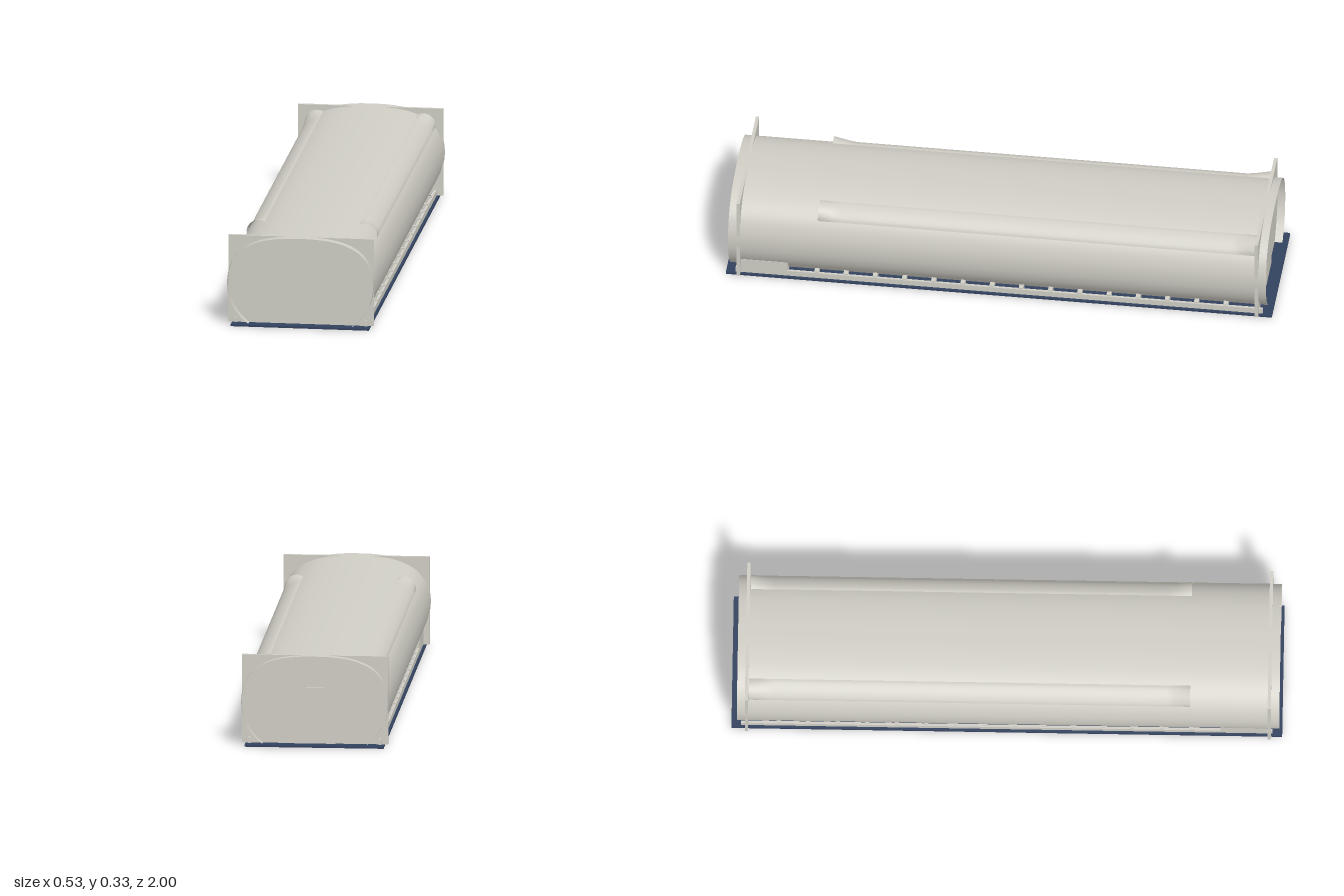
import * as THREE from 'three';

const HULL = new THREE.MeshStandardMaterial({ color: 0xcfcdc4, side: THREE.DoubleSide });
HULL.name = 'warm grey';
const NAVY = new THREE.MeshStandardMaterial({ color: 0x33425e });
NAVY.name = 'navy';

// Right half of the hull section, from the crown down to the floor
const HALF = [
  [0, 0.333], [0.06, 0.3315], [0.13, 0.322], [0.178, 0.306], [0.215, 0.284], [0.245, 0.25],
  [0.262, 0.205], [0.267, 0.165], [0.263, 0.12], [0.251, 0.083], [0.235, 0.055], [0.21, 0.025], [0.19, 0.008],
];

// Smooth surface through rows of points, each row being a cross-section
function loft(rows) {
  const n = rows[0].length;
  const index = [];
  for (let i = 0; i < rows.length - 1; i++) {
    for (let j = 0; j < n - 1; j++) {
      const a = i * n + j, b = a + n;
      index.push(a, b, a + 1, b, b + 1, a + 1);
    }
  }
  const g = new THREE.BufferGeometry();
  g.setAttribute('position', new THREE.Float32BufferAttribute(rows.flat(2), 3));
  g.setIndex(index);
  g.computeVertexNormals();
  return g;
}

function createModel() {
  const model = new THREE.Group();
  model.name = 'longHall';

  function add(name, geometry, material = HULL) {
    const mesh = new THREE.Mesh(geometry, material);
    mesh.name = name;
    model.add(mesh);
    return mesh;
  }
  function box(name, x0, x1, y0, y1, z0, z1, material) {
    const mesh = add(name, new THREE.BoxGeometry(x1 - x0, y1 - y0, z1 - z0), material);
    mesh.position.set((x0 + x1) / 2, (y0 + y1) / 2, (z0 + z1) / 2);
    return mesh;
  }

  // Base plate
  box('basePlate', -0.253, 0.253, 0, 0.007, -1, 1, NAVY);

  // Hull shell, open at both ends
  const outline = [...HALF.slice(1).reverse().map(([x, y]) => [-x, y]), ...HALF];
  const curve = new THREE.CatmullRomCurve3(outline.map(([x, y]) => new THREE.Vector3(x, y, 0)), false, 'centripetal');
  const section = curve.getPoints(72);
  add('hullShell', loft([-0.98, 0.99].map((z) => section.map((p) => [p.x, p.y, z]))));

  // End bulkheads, standing square around the hull
  box('frontBulkhead', -0.266, 0.266, 0.007, 0.3322, 0.947, 0.959);
  box('backBulkhead', -0.266, 0.266, 0.007, 0.3322, -0.951, -0.939);

  // Back door
  box('backDoor', -0.074, 0.074, 0.007, 0.213, -0.956, -0.95);

  // Shoulder fairings: low along the middle, flared at both ends
  const stations = [0.665, 0.64, 0.61, 0.58, -0.85, -0.88, -0.91, -0.937];
  const rise = [0.02, 0.015, 0.009, 0.005, 0.005, 0.009, 0.015, 0.02];
  for (const side of [-1, 1]) {
    const rows = stations.map((z, i) => {
      const row = [];
      for (let j = 0; j <= 12; j++) {
        const t = j / 12;
        const bulge = Math.pow(Math.sin(Math.PI * t), 0.6);
        const lift = bulge * (0.006 + rise[i]);
        row.push([side * (0.172 + 0.066 * t + lift * 0.58), 0.308 - 0.046 * t + lift * 0.8, z]);
      }
      return row;
    });
    if (side > 0) rows.reverse();
    add(side > 0 ? 'leftFairing' : 'rightFairing', loft(rows));

    // Foot rail, front side box and the struts tying the rail to the hull
    const span = (a, b) => (side > 0 ? [a, b] : [-b, -a]);
    box('footRail', ...span(0.233, 0.243), 0.007, 0.028, -0.965, 0.965);
    box('sideBox', ...span(0.18, 0.243), 0.007, 0.065, 0.775, 0.945);
    for (let k = 0; k < 15; k++) {
      const z = 0.67 - k * 0.107;
      box('strut', ...span(0.2, 0.24), 0.007, 0.033, z - 0.008, z + 0.008);
    }
  }
  return model;
}

export { createModel };
